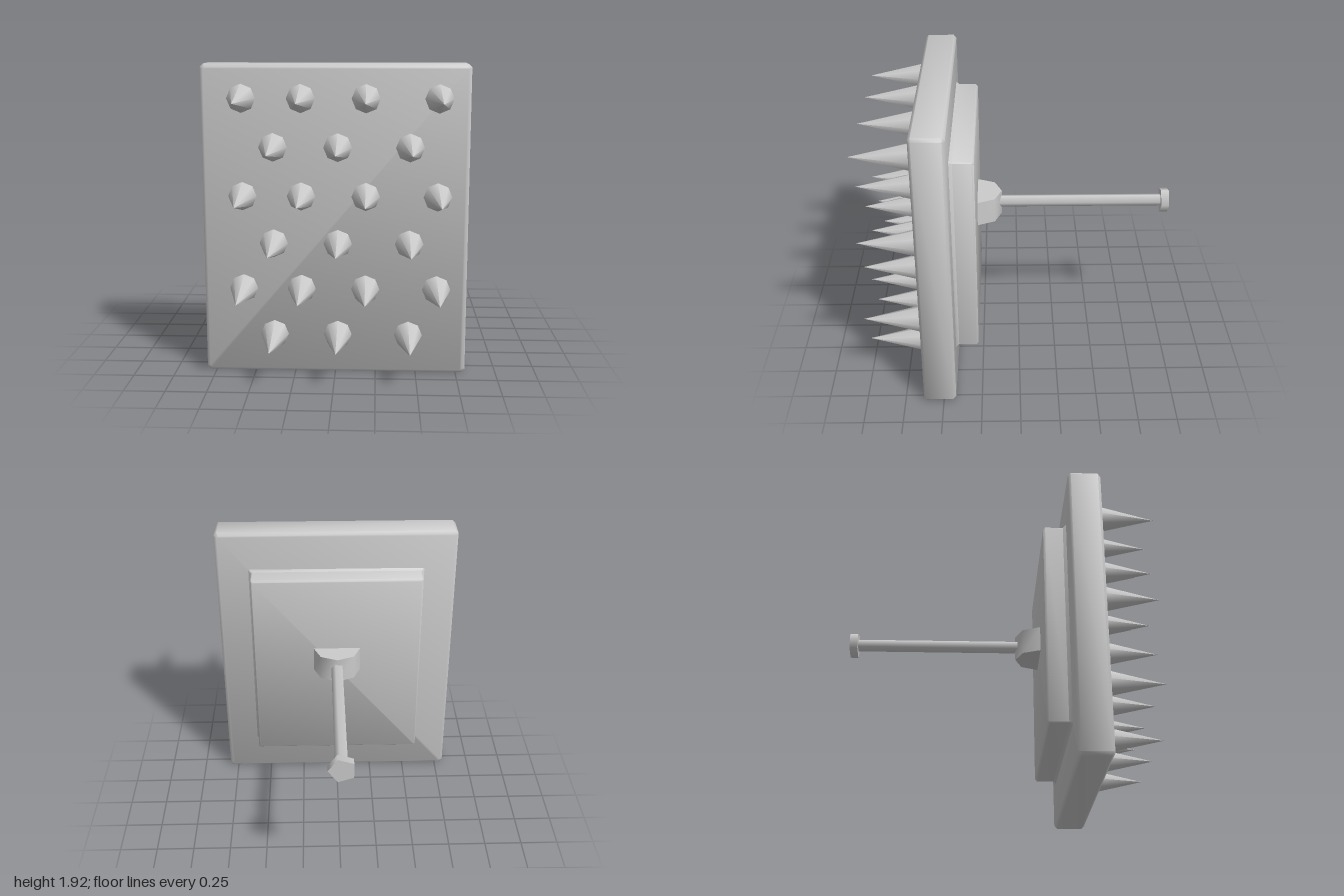
import * as THREE from 'three';
import { toCreasedNormals } from 'three/addons/utils/BufferGeometryUtils.js';

const material = new THREE.MeshStandardMaterial({ color: 0xcccccc });

function add(parent, name, geometry, x, y, z) {
  const mesh = new THREE.Mesh(geometry, material);
  mesh.name = name;
  mesh.position.set(x, y, z);
  parent.add(mesh);
  return mesh;
}

// Stacks corner-cut rectangles along z, back to front; each ring is [halfWidth, halfHeight, z, cornerCut]
function slab(rings) {
  const positions = [], index = [];
  for (const [w, h, z, c] of rings) {
    const outline = [[w, h - c], [w - c, h], [c - w, h], [-w, h - c], [-w, c - h], [c - w, -h], [w - c, -h], [w, c - h]];
    for (const [x, y] of outline) positions.push(x, y, z);
  }
  for (let r = 0; r < rings.length - 1; r++) {
    for (let i = 0; i < 8; i++) {
      const a = r * 8 + i, b = r * 8 + (i + 1) % 8;
      index.push(a, b, b + 8, a, b + 8, a + 8);
    }
  }
  const last = (rings.length - 1) * 8;
  for (let i = 1; i < 7; i++) {
    index.push(0, i + 1, i); // back face
    index.push(last, last + i, last + i + 1); // front face
  }
  const geometry = new THREE.BufferGeometry();
  geometry.setAttribute('position', new THREE.Float32BufferAttribute(positions, 3));
  geometry.setIndex(index);
  return toCreasedNormals(geometry, 0.9);
}

// Five-sided bar along z with one corner pointing to +x
function bar(radius, length) {
  return new THREE.CylinderGeometry(radius, radius, length, 5, 1, false, Math.PI / 2).rotateX(Math.PI / 2);
}

export function createModel() {
  const group = new THREE.Group();

  // Main board with bevelled edges
  add(group, 'board', slab([
    [0.79, 0.94, -0.105, 0.012], [0.81, 0.958, -0.087, 0.02],
    [0.81, 0.958, 0.087, 0.02], [0.79, 0.94, 0.105, 0.012],
  ]), 0, 0.958, 0.525);

  // Raised back panel with a flared foot
  add(group, 'backPanel', slab([
    [0.565, 0.67, 0.272, 0.005], [0.575, 0.682, 0.285, 0.008],
    [0.575, 0.682, 0.4, 0.008], [0.595, 0.695, 0.422, 0.008],
  ]), 0, 0.96, 0);

  // Half-octagon mount that holds the rod
  const mount = new THREE.CylinderGeometry(0.16, 0.16, 0.17, 4, 1, false, Math.PI / 2, Math.PI);
  add(group, 'mount', toCreasedNormals(mount, 0.9), 0, 1.035, 0.272);

  // Rod and its end cap
  add(group, 'rod', bar(0.042, 1.1), 0, 1.045, -0.41);
  add(group, 'endCap', bar(0.086, 0.052), 0, 1.045, -0.974);

  // Staggered rows of spikes on the front
  const spikes = new THREE.Group();
  spikes.name = 'spikes';
  const spike = new THREE.ConeGeometry(0.087, 0.37, 8).rotateX(Math.PI / 2);
  const columns = [[-0.566, -0.208, 0.185, 0.622], [-0.378, 0.015, 0.452]];
  const rows = [1.711, 1.417, 1.117, 0.824, 0.538, 0.244];
  rows.forEach((y, r) => {
    for (const x of columns[r % 2]) add(spikes, 'spike', spike, x, y, 0.815);
  });
  group.add(spikes);

  return group;
}
